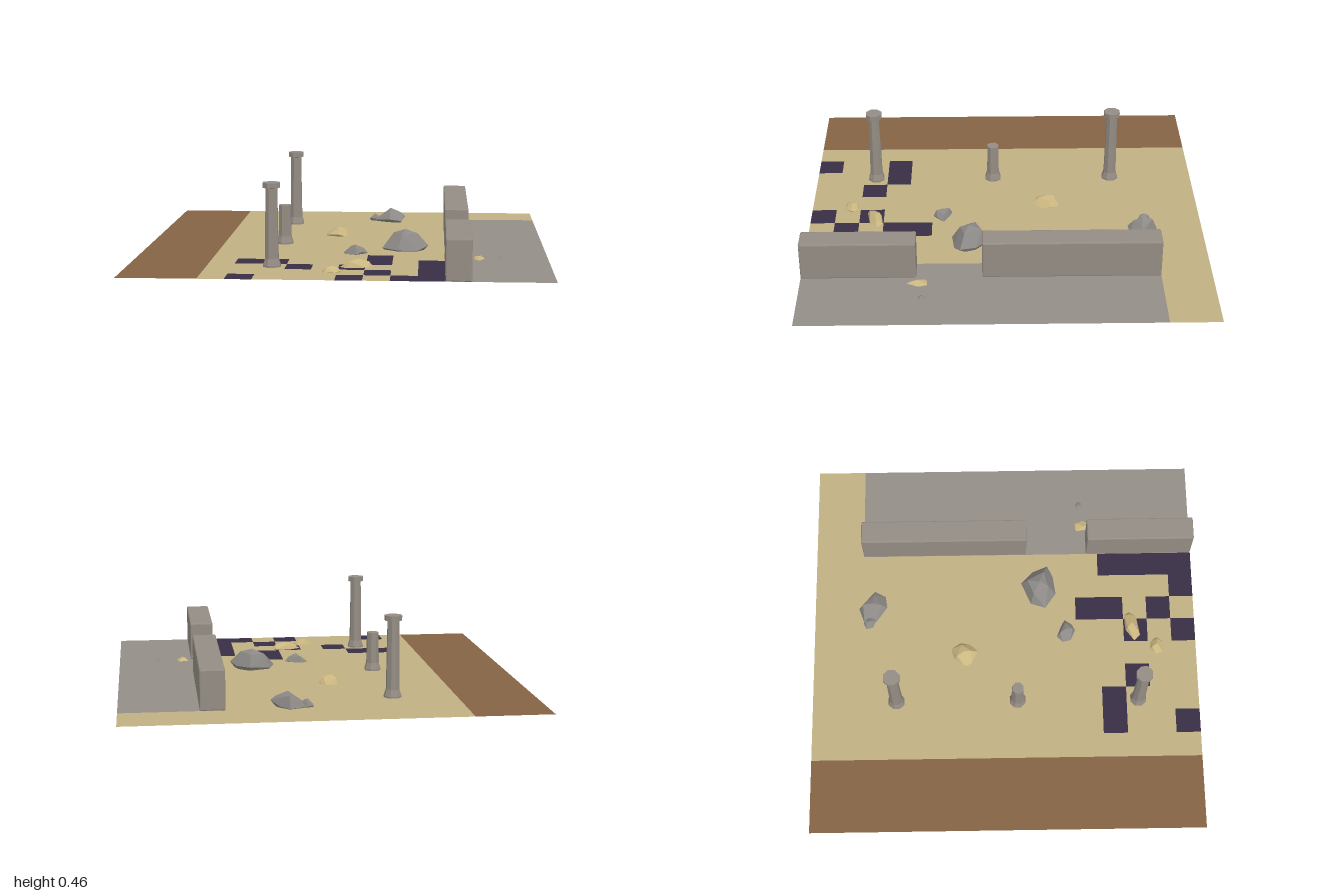
import * as THREE from 'three';
import { ConvexGeometry } from 'three/addons/geometries/ConvexGeometry.js';
import { RoundedBoxGeometry } from 'three/addons/geometries/RoundedBoxGeometry.js';

const GROUND = 0.062;

function material(name, color, options = {}) {
  return new THREE.MeshStandardMaterial({ name, color, ...options });
}

const tileOptions = { side: THREE.DoubleSide };
const rockOptions = { flatShading: true };
const sand = material('sand', 0xc0b182, tileOptions);
const dirt = material('brown dirt', 0x846345, tileOptions);
const paving = material('grey paving', 0x948e88, tileOptions);
const pit = material('dark pit', 0x382e44, tileOptions);
const masonry = material('masonry', 0x948d84, rockOptions);
const greyRock = material('grey rock', 0x8b8885, rockOptions);
const sandRock = material('sandstone', 0xcab67f, rockOptions);

// Dark tiles as [column, row, columns, rows] on the 16 x 16 ground grid
const pits = [
  [4, 12, 2, 1], [6, 13, 1, 1], [8, 13, 1, 1], [9, 11, 1, 2], [9, 14, 1, 1],
  [11, 12, 1, 4], [10, 15, 1, 1], [8, 15, 1, 1], [4, 15, 1, 1],
];

function tileIndex(col, row) {
  if (col < 3) return 1;
  if (col >= 12 && row >= 2) return 2;
  return pits.some(([c, r, w, h]) => col >= c && col < c + w && row >= r && row < r + h) ? 3 : 0;
}

function makeGround() {
  const geometry = new THREE.PlaneGeometry(2, 2, 16, 16).rotateX(-Math.PI / 2);
  for (let row = 0; row < 16; row++) {
    for (let col = 0; col < 16; col++) {
      geometry.addGroup((row * 16 + col) * 6, 6, tileIndex(col, row));
    }
  }
  const mesh = new THREE.Mesh(geometry, [sand, dirt, paving, pit]);
  mesh.name = 'ground';
  mesh.position.y = GROUND;
  return mesh;
}

function makeWall(z0, z1) {
  const height = 0.195;
  const mesh = new THREE.Mesh(new RoundedBoxGeometry(0.12, height, z1 - z0, 1, 0.006), masonry);
  mesh.name = 'wall';
  mesh.position.set(0.56, GROUND + height / 2 - 0.001, (z0 + z1) / 2);
  return mesh;
}

// Eight-sided columns: flared foot, tapered shaft and, if whole, a capital
function makeColumn(z, broken) {
  const foot = [[0, -0.002], [0.044, -0.002], [0.044, 0.008], [0.034, 0.04]];
  const top = broken
    ? [[0.031, 0.2], [0, 0.2]]
    : [[0.029, 0.373], [0.043, 0.375], [0.043, 0.4], [0, 0.4]];
  const profile = [...foot, ...top].map(([r, y]) => new THREE.Vector2(r, y));
  const mesh = new THREE.Mesh(new THREE.LatheGeometry(profile, 8, Math.PI / 8), masonry);
  mesh.name = broken ? 'brokenColumn' : 'column';
  mesh.position.set(-0.315, GROUND, z);
  return mesh;
}

function seeded(seed) {
  return () => {
    seed = (seed * 16807) % 2147483647;
    return seed / 2147483647;
  };
}

// Faceted rock hulled from an uneven waist outline and smaller rings above and below
function makeRock(mat, y0, y1, outline, seed) {
  const random = seeded(seed * 7919 + 13);
  const n = outline.length;
  const cx = outline.reduce((s, p) => s + p[0], 0) / n;
  const cz = outline.reduce((s, p) => s + p[1], 0) / n;
  const height = y1 - y0;
  const points = [];
  outline.forEach(([x, z], i) => {
    points.push(new THREE.Vector3(x, y0 + height * (0.38 + 0.24 * random()), z));
    for (const level of i % 2 ? [0.85] : [0.12]) {
      const k = 0.5 + 0.2 * random();
      const y = y0 + height * (level + 0.1 * (random() - 0.5));
      points.push(new THREE.Vector3(cx + (x - cx) * k, y, cz + (z - cz) * k));
    }
  });
  points.push(new THREE.Vector3(cx + 0.01 * (random() - 0.5), y1, cz));
  points.push(new THREE.Vector3(cx, y0, cz + 0.01 * (random() - 0.5)));
  const mesh = new THREE.Mesh(new ConvexGeometry(points), mat);
  mesh.name = mat === greyRock ? 'greyRock' : 'sandstoneRock';
  return mesh;
}

// Each rock: material, bottom, top, outline as [x, z]
const rocks = [
  [greyRock, 0.02, 0.135, [[0.12, -0.74], [0.2, -0.77], [0.245, -0.73], [0.287, -0.685], [0.265, -0.63], [0.2, -0.62], [0.12, -0.68]]],
  [greyRock, 0.045, 0.1, [[0.085, -0.73], [0.12, -0.745], [0.16, -0.71], [0.13, -0.68], [0.09, -0.695]]],
  [sandRock, 0.022, 0.105, [[-0.13, -0.21], [-0.09, -0.27], [-0.03, -0.285], [0, -0.235], [-0.005, -0.18], [-0.05, -0.145], [-0.11, -0.175]]],
  [greyRock, 0, 0.163, [[0.19, 0.215], [0.215, 0.14], [0.285, 0.125], [0.325, 0.09], [0.39, 0.15], [0.42, 0.23], [0.365, 0.26], [0.27, 0.272]]],
  [greyRock, 0.027, 0.105, [[0, 0.305], [0.03, 0.272], [0.085, 0.295], [0.122, 0.315], [0.095, 0.35], [0.065, 0.37], [0.01, 0.345]]],
  [sandRock, 0.022, 0.1, [[0, 0.68], [0.06, 0.635], [0.14, 0.63], [0.17, 0.657], [0.14, 0.695], [0.03, 0.715]]],
  [sandRock, 0.03, 0.09, [[-0.075, 0.79], [-0.045, 0.758], [0, 0.765], [0.02, 0.797], [-0.005, 0.832], [-0.06, 0.825]]],
  [sandRock, 0.042, 0.075, [[0.63, 0.385], [0.685, 0.378], [0.695, 0.43], [0.668, 0.487], [0.642, 0.475], [0.638, 0.43]]],
  [greyRock, 0.046, 0.072, [[0.755, 0.408], [0.785, 0.388], [0.817, 0.405], [0.8, 0.428], [0.77, 0.43]]],
];

export function createModel() {
  const model = new THREE.Group();
  model.name = 'ruins';
  model.add(makeGround());
  model.add(makeWall(-0.75, 0.12), makeWall(0.44, 1));
  model.add(makeColumn(-0.567, false), makeColumn(0.06, true), makeColumn(0.685, false));
  rocks.forEach((rock, i) => model.add(makeRock(...rock, i + 1)));
  return model;
}
